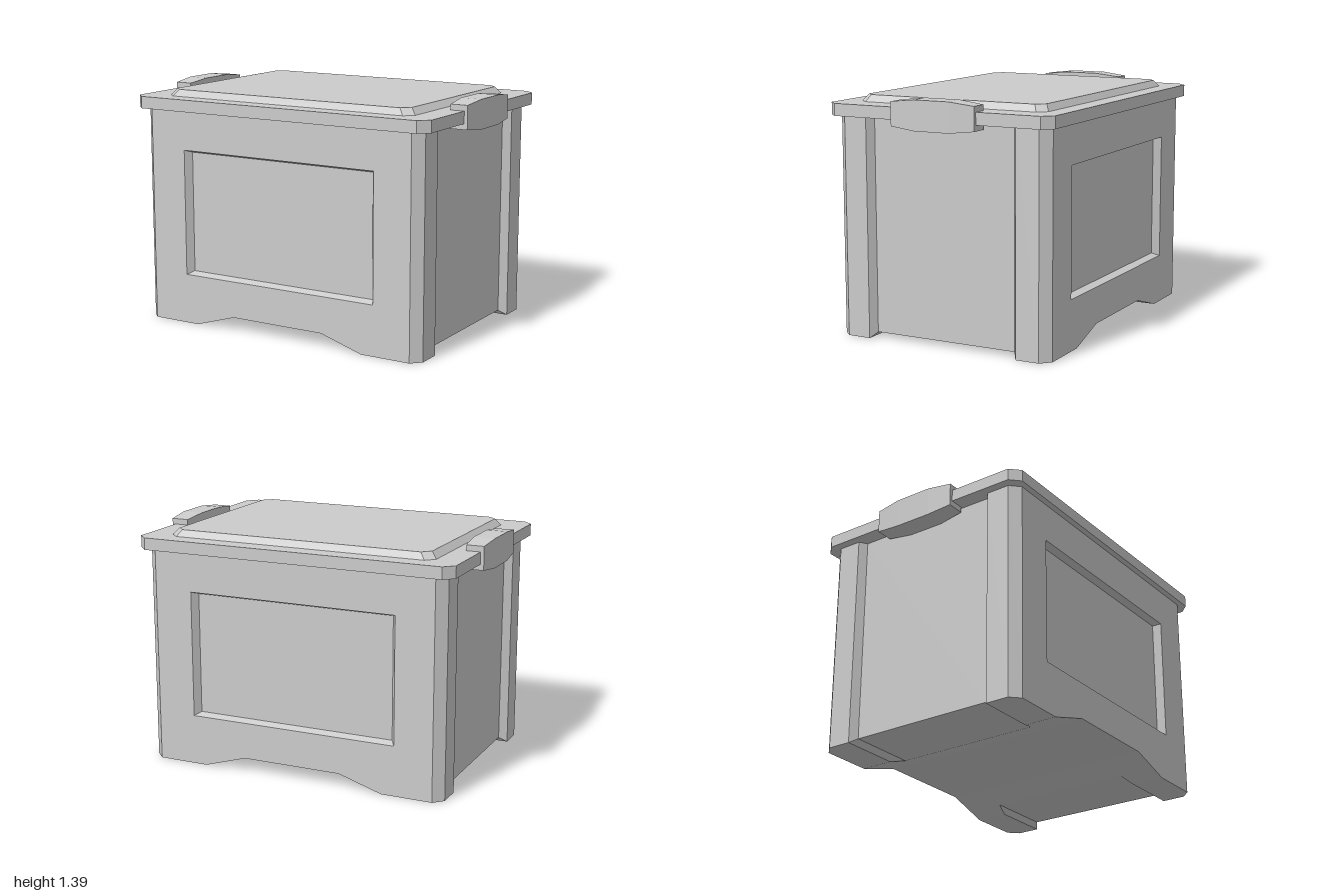
import * as THREE from 'three';

const material = new THREE.MeshStandardMaterial({ color: 0xcccccc, flatShading: true });

// Skin a list of equal-sized rings; each ring runs counter-clockwise, optional fan caps
function loft(rings, capStart, capEnd) {
  const pos = [];
  const tri = (...pts) => pts.forEach(p => pos.push(...p));
  for (let s = 0; s + 1 < rings.length; s++) {
    const a = rings[s], b = rings[s + 1];
    a.forEach((p, i) => {
      const j = (i + 1) % a.length;
      tri(p, a[j], b[j]);
      tri(p, b[j], b[i]);
    });
  }
  const first = rings[0], last = rings[rings.length - 1];
  for (let i = 1; i + 1 < first.length; i++) {
    if (capStart) tri(first[0], first[i + 1], first[i]);
    if (capEnd) tri(last[0], last[i], last[i + 1]);
  }
  const geometry = new THREE.BufferGeometry();
  geometry.setAttribute('position', new THREE.Float32BufferAttribute(pos, 3));
  geometry.computeVertexNormals();
  return geometry;
}

function part(name, geometry) {
  const mesh = new THREE.Mesh(geometry, material);
  mesh.name = name;
  return mesh;
}

// Rectangle in the xy plane
const rect = (hx, y0, y1, z) => [[-hx, y0, z], [hx, y0, z], [hx, y1, z], [-hx, y1, z]];

// Horizontal rectangle with chamfered corners
const octagon = (x, d, c, y) => [
  [x, d - c], [x - c, d], [c - x, d], [-x, d - c],
  [-x, c - d], [c - x, -d], [x - c, -d], [x, c - d],
].map(([u, v]) => [u, y, -v]);

// Body cross-section with the arched underside
const BODY_TOP = 1.275;
const bodyOutline = (w, k, y0) => [
  [w, BODY_TOP], [-w, BODY_TOP], [-w, y0], [-k, y0],
  [-0.3, 0.08], [0.3, 0.08], [k, y0], [w, y0],
];

export function createModel() {
  const group = new THREE.Group();

  // Body: corner posts stand proud of the recessed sides and floor
  const half = [[0.44, 0.875, 0.4625, 0.03], [0.47, 0.92, 0.56, 0], [0.61, 0.92, 0.56, 0], [0.665, 0.865, 0.56, 0]];
  const stations = [...half.map(([z, ...r]) => [-z, ...r]).reverse(), ...half];
  group.add(part('body', loft(stations.map(([z, w, k, y0]) =>
    bodyOutline(w, k, y0).map(([x, y]) => [x, y, z])))));

  // Front and back walls, each with a bevelled sunken panel
  const wallShape = new THREE.Shape(bodyOutline(0.865, 0.56, 0).map(p => new THREE.Vector2(...p)));
  wallShape.holes.push(new THREE.Path(rect(0.635, 0.295, 1.04, 0).map(([x, y]) => new THREE.Vector2(x, y))));
  const wallGeometry = new THREE.ShapeGeometry(wallShape).translate(0, 0, 0.665);
  const panelGeometry = loft([rect(0.635, 0.295, 1.04, 0.665), rect(0.607, 0.312, 1.025, 0.622)], false, true);
  for (const side of ['front', 'back']) {
    const wall = new THREE.Group();
    wall.name = side + 'Wall';
    wall.add(part(side + 'Face', wallGeometry), part(side + 'Panel', panelGeometry));
    if (side === 'back') wall.rotation.y = Math.PI;
    group.add(wall);
  }

  // Lid plate and its raised centre
  group.add(part('lid', loft([octagon(0.97, 0.7, 0.057, 1.27), octagon(0.97, 0.7, 0.057, 1.34)], true, true)));
  group.add(part('lidPanel', loft([octagon(0.822, 0.592, 0.05, 1.335), octagon(0.785, 0.563, 0.047, 1.378)], false, true)));

  // Side clasps, tapered towards both ends
  const claspGeometry = loft([
    rect(0.052, 1.237, 1.373, -0.26), rect(0.0625, 1.22, 1.39, -0.11),
    rect(0.0625, 1.22, 1.39, 0.11), rect(0.052, 1.237, 1.373, 0.26),
  ], true, true);
  for (const [name, s] of [['leftClasp', 1], ['rightClasp', -1]]) {
    const clasp = part(name, claspGeometry);
    clasp.position.x = s * 0.9375;
    group.add(clasp);
  }

  return group;
}
